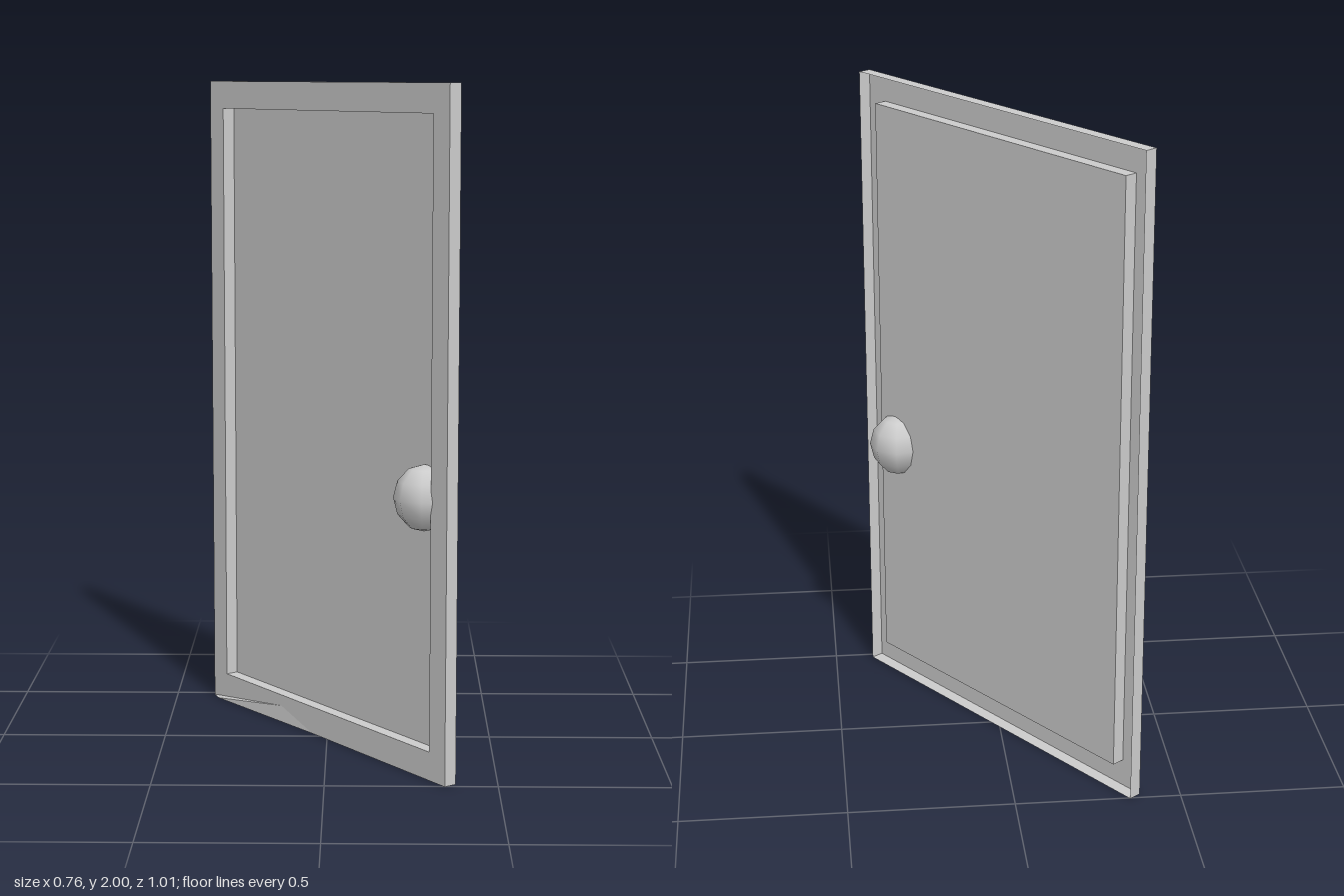
import * as THREE from 'three';

const W = 1.222, H = 2, T = 0.04;            // door width, height, thickness
const PW = W - 0.148, PB = 0.085, PT = 1.915; // sunken panel width, bottom, top

export function createModel() {
  const door = new THREE.Group();
  door.name = 'door';
  const material = new THREE.MeshStandardMaterial({ color: 0xcccccc, side: THREE.DoubleSide });

  const add = (name, geometry, parent = door) => {
    const mesh = new THREE.Mesh(geometry, material);
    mesh.name = name;
    parent.add(mesh);
    return mesh;
  };

  // Four thin walls around a rectangle, running front to back
  const walls = (name, w, y0, y1, outward) => {
    const ring = new THREE.Group();
    ring.name = name;
    door.add(ring);
    for (const s of [-1, 1]) {
      const side = add(name + 'Side', new THREE.PlaneGeometry(T, y1 - y0), ring);
      side.position.set(s * w / 2, (y0 + y1) / 2, 0);
      side.rotation.y = s * outward * Math.PI / 2;
      const end = add(name + 'End', new THREE.PlaneGeometry(w, T), ring);
      end.position.y = s > 0 ? y1 : y0;
      end.rotation.x = -s * outward * Math.PI / 2;
    }
  };

  // Front frame with the panel opening
  const frame = new THREE.Shape([
    new THREE.Vector2(-W / 2, 0), new THREE.Vector2(W / 2, 0),
    new THREE.Vector2(W / 2, H), new THREE.Vector2(-W / 2, H)]);
  frame.holes.push(new THREE.Path([
    new THREE.Vector2(-PW / 2, PB), new THREE.Vector2(-PW / 2, PT),
    new THREE.Vector2(PW / 2, PT), new THREE.Vector2(PW / 2, PB)]));
  add('frontFrame', new THREE.ShapeGeometry(frame)).position.z = T / 2;

  // Outer edges, and the recess leading to the panel; the back is an open shell
  walls('outerEdge', W, 0, H, 1);
  walls('recessEdge', PW, PB, PT, -1);
  add('panel', new THREE.PlaneGeometry(PW, PT - PB)).position.set(0, (PB + PT) / 2, -T / 2);

  // Shallow bulge along the lower hinge corner of the frame
  const a = [-W / 2, 0, T / 2], b = [-W / 2 + 0.044, 0, T / 2 + 0.014];
  const t = [-W / 2 + 0.56, 0, T / 2], q = [-W / 2 + 0.39, 0.05, T / 2];
  const bulge = new THREE.BufferGeometry();
  bulge.setAttribute('position', new THREE.Float32BufferAttribute(
    [a, b, q, b, t, q, a, t, b].flat(), 3));
  bulge.computeVertexNormals();
  add('bottomBulge', bulge);

  // Round knob passing through the door
  const knob = add('knob', new THREE.SphereGeometry(1, 8, 6));
  knob.scale.set(0.09, 0.098, 0.09);
  knob.position.set(0.468, 0.818, -0.01);
  knob.rotation.y = 0.817;

  // Swing the door open
  door.rotation.y = -Math.atan2(0.805, 0.593);
  const model = new THREE.Group();
  model.name = 'openDoor';
  model.add(door);
  return model;
}
